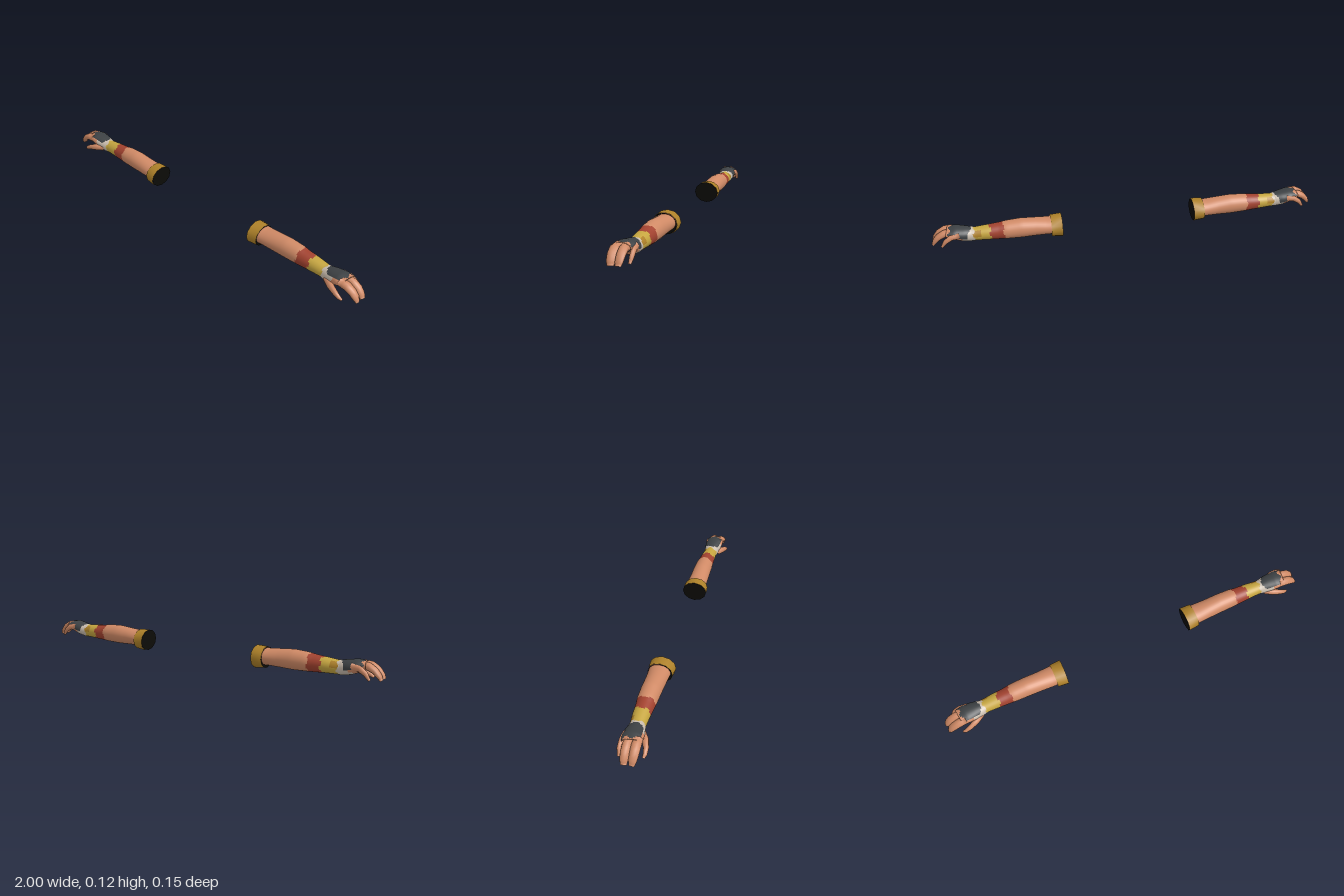
import * as THREE from 'three';

const mat = (name, color, side = THREE.FrontSide) => {
  const m = new THREE.MeshStandardMaterial({ color, side });
  m.name = name;
  return m;
};

// Lofts ellipses [x, y, z, halfHeight, halfDepth] along a path.
// s mirrors in x; pick(x, angle) gives a material index for each face.
function loft(sections, { s = 1, sides = 16, steps = 1, caps = true, pick = () => 0 } = {}) {
  const rows = [];
  sections.forEach((a, i) => {
    const b = sections[i + 1];
    if (!b) return rows.push(a);
    for (let k = 0; k < steps; k++) rows.push(a.map((v, n) => v + (b[n] - v) * k / steps));
  });
  const centre = (r) => new THREE.Vector3(r[0], r[1], r[2]);
  const pos = [], faces = [], up = new THREE.Vector3(0, 1, 0);
  rows.forEach((r, i) => {
    const t = centre(rows[Math.min(i + 1, rows.length - 1)]).sub(centre(rows[Math.max(i - 1, 0)])).normalize();
    const side = new THREE.Vector3().crossVectors(t, up).normalize();
    const high = new THREE.Vector3().crossVectors(side, t);
    for (let j = 0; j < sides; j++) {
      const a = j / sides * Math.PI * 2;
      const p = centre(r).addScaledVector(side, Math.cos(a) * r[4]).addScaledVector(high, Math.sin(a) * r[3]);
      pos.push(p.x * s, p.y, p.z);
    }
  });
  const tri = (m, a, b, c) => (faces[m] ??= []).push(...(s > 0 ? [a, b, c] : [a, c, b]));
  for (let i = 0; i < rows.length - 1; i++) for (let j = 0; j < sides; j++) {
    const k = (j + 1) % sides, a = i * sides + j, d = i * sides + k;
    const m = pick((rows[i][0] + rows[i + 1][0]) / 2, (j + 0.5) / sides * Math.PI * 2);
    tri(m, a, a + sides, d + sides);
    tri(m, a, d + sides, d);
  }
  if (caps) [0, rows.length - 1].forEach((i) => {
    const c = pos.length / 3, r = rows[i], m = pick(r[0], Math.PI * 1.5);
    pos.push(r[0] * s, r[1], r[2]);
    for (let j = 0; j < sides; j++) {
      const a = i * sides + j, b = i * sides + (j + 1) % sides;
      if (i) tri(m, c, a, b); else tri(m, c, b, a);
    }
  });
  const g = new THREE.BufferGeometry(), index = [];
  faces.forEach((f, m) => {
    g.addGroup(index.length, f.length, m);
    for (const v of f) index.push(v);
  });
  g.setAttribute('position', new THREE.Float32BufferAttribute(pos, 3));
  g.setIndex(index);
  g.computeVertexNormals();
  return g;
}

// Forearm, wrist and palm
const ARM = [
  [0.36, 0.066, -0.01, 0.043, 0.055], [0.42, 0.067, -0.01, 0.042, 0.053],
  [0.48, 0.069, -0.01, 0.046, 0.05], [0.55, 0.071, -0.011, 0.05, 0.049],
  [0.62, 0.07, -0.011, 0.047, 0.047], [0.66, 0.068, -0.01, 0.043, 0.043],
  [0.72, 0.067, -0.01, 0.038, 0.04], [0.78, 0.065, -0.008, 0.034, 0.036],
  [0.8, 0.065, -0.006, 0.036, 0.039], [0.84, 0.073, -0.005, 0.036, 0.046],
  [0.88, 0.084, -0.002, 0.031, 0.049], [0.92, 0.089, 0.003, 0.02, 0.043],
];

// Fingers and thumb, each bending down to its tip
const DIGITS = {
  indexFinger: [[0.89, 0.088, 0.026, 0.021, 0.022], [0.93, 0.086, 0.028, 0.019, 0.023],
    [0.96, 0.07, 0.028, 0.016, 0.022], [0.98, 0.048, 0.026, 0.013, 0.02], [0.99, 0.029, 0.024, 0.008, 0.014]],
  middleFinger: [[0.89, 0.09, -0.012, 0.021, 0.021], [0.93, 0.088, -0.012, 0.019, 0.021],
    [0.962, 0.071, -0.012, 0.016, 0.021], [0.982, 0.049, -0.011, 0.013, 0.019], [0.993, 0.03, -0.01, 0.008, 0.014]],
  littleFinger: [[0.86, 0.083, -0.038, 0.018, 0.014], [0.9, 0.08, -0.045, 0.015, 0.012],
    [0.93, 0.06, -0.047, 0.012, 0.011], [0.95, 0.031, -0.044, 0.006, 0.007]],
  thumb: [[0.81, 0.056, 0.022, 0.016, 0.016], [0.85, 0.054, 0.046, 0.018, 0.016],
    [0.89, 0.044, 0.06, 0.014, 0.012], [0.915, 0.031, 0.062, 0.01, 0.01], [0.93, 0.022, 0.058, 0.005, 0.006]],
};

const SKIN = 0, RED = 1, YELLOW = 2, GOLD = 3, WRAP = 4, GLOVE = 5;

// Colour bands of the arm, with ragged cloth borders
function armColour(x, a) {
  const rag = 0.006 * Math.sin(a * 5), high = Math.sin(a), front = Math.cos(a);
  if (x < 0.637 + rag) return SKIN;
  if (x < 0.705 + rag) return RED;
  if (x < 0.785 + rag) return x > 0.745 && front < -0.5 && high > 0 ? GOLD : YELLOW;
  if (high > 0.2 + front * 0.4 && x > 0.802 + 0.02 * Math.abs(front) && x < 0.907 + rag) return GLOVE;
  return x < 0.85 + 2 * rag ? WRAP : SKIN;
}

export function createModel() {
  const cloth = [
    mat('skin', 0xd08a66), mat('redBand', 0xa2422f), mat('yellowBand', 0xc6a640),
    mat('goldCuff', 0xae8129), mat('paleWrap', 0xcabdae), mat('darkGlove', 0x3d4144),
  ];
  const lining = mat('cuffLining', 0x0c0b08, THREE.DoubleSide);
  const model = new THREE.Group();

  for (const [s, label] of [[1, 'left'], [-1, 'right']]) {
    const arm = new THREE.Group();
    arm.name = label + 'Arm';
    const add = (name, geometry, material) => {
      const m = new THREE.Mesh(geometry, material);
      m.name = name;
      arm.add(m);
      return m;
    };
    add('forearmAndPalm', loft(ARM, { s, sides: 32, steps: 6, pick: armColour }), cloth);
    for (const [name, path] of Object.entries(DIGITS)) {
      add(name, loft(path, { s, sides: 10, steps: 2 }), cloth[SKIN]);
    }
    // Sleeve cuff with dark ends set just inside its rims
    const cuff = loft([[0.345, 0.06, -0.008, 0.058, 0.067], [0.402, 0.062, -0.009, 0.054, 0.063]],
      { s, sides: 12, caps: false });
    add('cuff', cuff, cloth[GOLD]);
    for (const [x, k] of [[0.347, 0.99], [0.399, 0.97]]) {
      const disc = add('cuffLining', new THREE.CircleGeometry(1, 12), lining);
      disc.rotation.y = Math.PI / 2;
      disc.scale.set(0.066 * k, 0.057 * k, 1);
      if (x > 0.36) disc.scale.set(0.062, 0.053, 1);
      disc.position.set(x * s, 0.061, -0.008);
    }
    model.add(arm);
  }
  return model;
}
